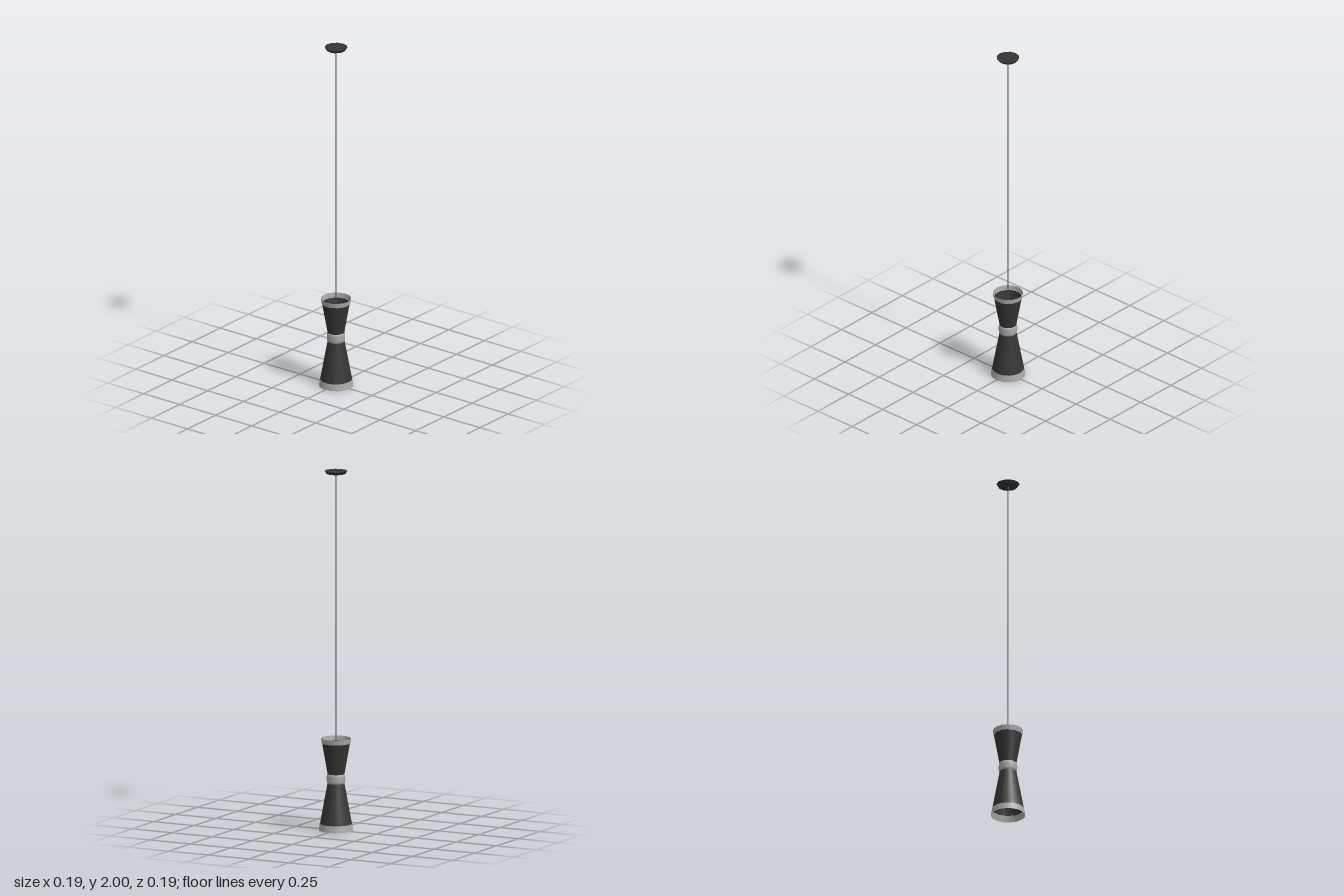
import * as THREE from 'three';

const SIDES = 16;

export function createModel() {
  const black = new THREE.MeshStandardMaterial({ name: 'matteBlack', color: 0x353535, side: THREE.DoubleSide });
  const metal = new THREE.MeshStandardMaterial({ name: 'brushedMetal', color: 0xa9a9a9, side: THREE.DoubleSide });
  const cable = new THREE.MeshStandardMaterial({ name: 'cableGrey', color: 0x50525a });

  const model = new THREE.Group();
  model.name = 'pendantLamp';

  const add = (name, geometry, material, y = 0) => {
    const mesh = new THREE.Mesh(geometry, material);
    mesh.name = name;
    mesh.position.y = y;
    model.add(mesh);
    return mesh;
  };
  // Revolved part from [radius, height] pairs
  const turn = (name, points, material, sides = SIDES) =>
    add(name, new THREE.LatheGeometry(points.map(([r, y]) => new THREE.Vector2(r, y)), sides), material);
  // Open conical sleeve between two heights
  const sleeve = (name, r0, y0, r1, y1, material) =>
    add(name, new THREE.CylinderGeometry(r1, r0, y1 - y0, SIDES, 1, true), material, (y0 + y1) / 2);

  // Hourglass shade with metal rims at both open ends
  sleeve('lowerRim', 0.095, 0, 0.089, 0.037, metal);
  sleeve('lowerShade', 0.088, 0.037, 0.046, 0.265, black);
  sleeve('upperShade', 0.046, 0.31, 0.077, 0.485, black);
  sleeve('upperRim', 0.079, 0.485, 0.083, 0.512, metal);

  // Rounded collar around the waist
  turn('waistCollar', [
    [0.044, 0.259], [0.049, 0.263], [0.051, 0.275], [0.051, 0.3], [0.049, 0.312], [0.044, 0.316],
  ], metal);

  // Divider inside the waist that carries the cable
  add('waistDivider', new THREE.CylinderGeometry(0.046, 0.046, 0.02, SIDES), black, 0.288);

  // Suspension cable
  add('cable', new THREE.CylinderGeometry(0.003, 0.003, 1.69, 8), cable, 1.145);

  // Ceiling canopy, slightly wider at the top
  add('ceilingCanopy', new THREE.CylinderGeometry(0.063, 0.052, 0.016, 12), black, 1.992);

  return model;
}
